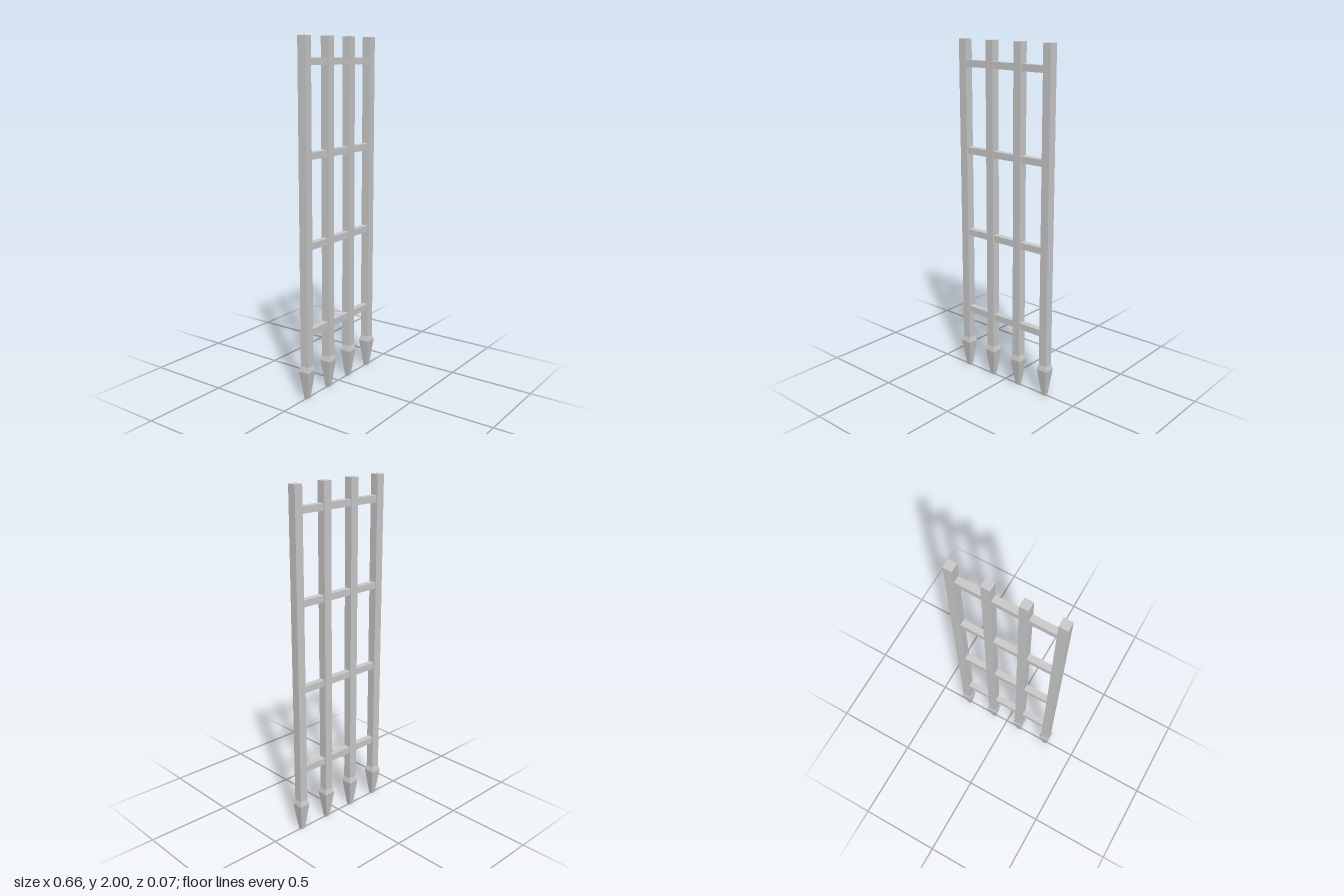
import * as THREE from 'three';

export function createModel() {
  const model = new THREE.Group();
  const material = new THREE.MeshStandardMaterial({ color: 0xcccccc, flatShading: true });

  // Square upright with a flared, blunt-pointed foot: [half width, height]
  const profile = [[0, 0], [0.012, 0], [0.033, 0.165], [0.025, 0.196], [0.025, 2], [0, 2]]
    .map(([half, y]) => new THREE.Vector2(half * Math.SQRT2, y));
  const barGeometry = new THREE.LatheGeometry(profile, 4, Math.PI / 4);

  // Four evenly spaced spiked bars
  const spacing = 0.198;
  for (let i = 0; i < 4; i++) {
    const bar = new THREE.Mesh(barGeometry, material);
    bar.name = `spikedBar${i + 1}`;
    bar.position.x = (i - 1.5) * spacing;
    model.add(bar);
  }

  // Four cross rails, ending inside the outer bars
  const railGeometry = new THREE.BoxGeometry(spacing * 3, 0.038, 0.038);
  for (let i = 0; i < 4; i++) {
    const rail = new THREE.Mesh(railGeometry, material);
    rail.name = `crossRail${i + 1}`;
    rail.position.y = 0.388 + i * 0.493;
    model.add(rail);
  }

  return model;
}
